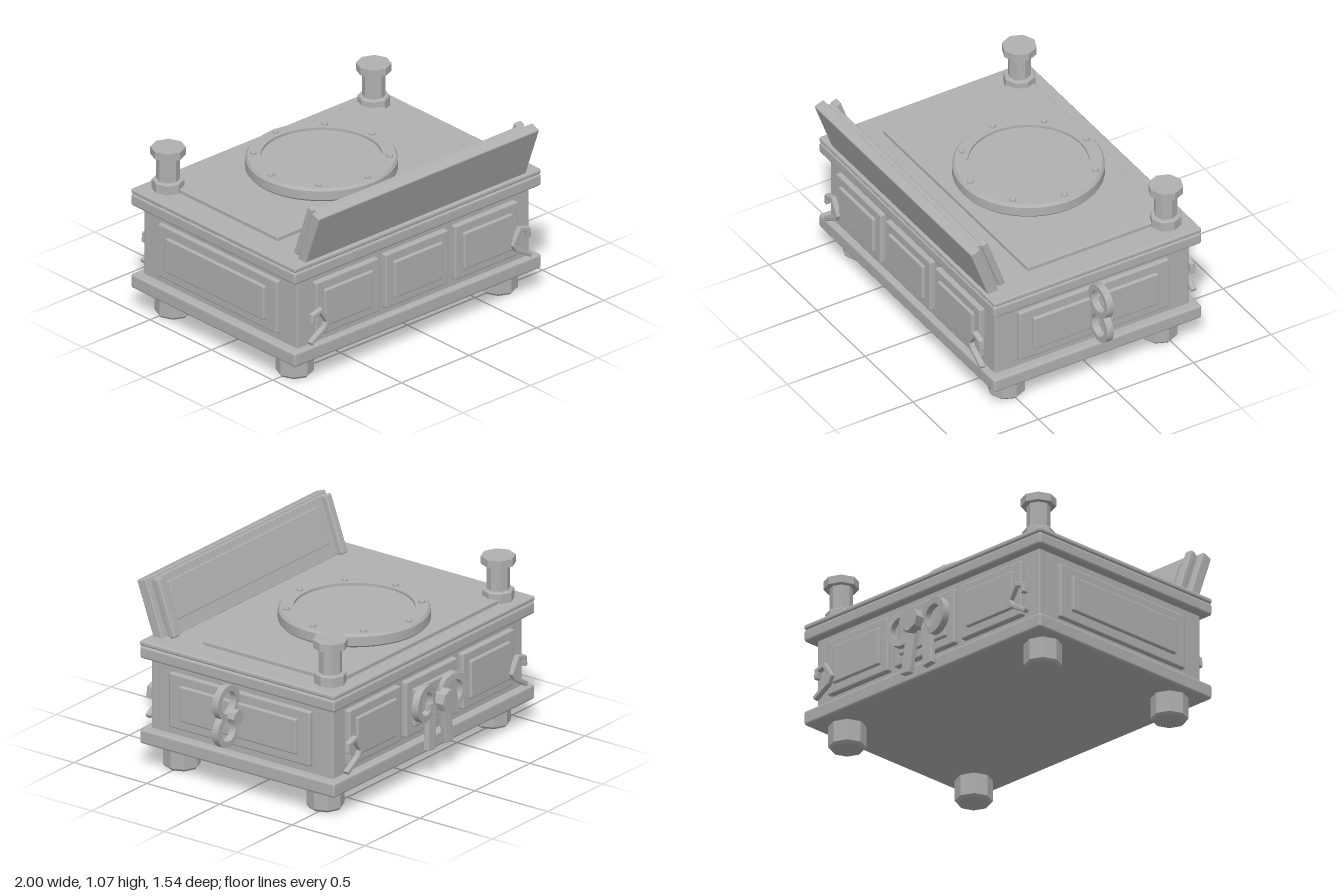
import * as THREE from 'three';
import { RoundedBoxGeometry } from 'three/addons/geometries/RoundedBoxGeometry.js';
import { toCreasedNormals } from 'three/addons/utils/BufferGeometryUtils.js';

const CX = -0.085; // middle of the chest; the side key pushes it off centre
const CZ = 0.01;

export function createModel() {
  const model = new THREE.Group();
  const grey = new THREE.MeshStandardMaterial({ color: 0xb0b0b0 });
  grey.name = 'plain grey';

  const add = (name, geometry, parent = model) => {
    const mesh = new THREE.Mesh(geometry, grey);
    mesh.name = name;
    parent.add(mesh);
    return mesh;
  };
  // Box given by its lower and upper corners
  const box = (name, [x0, y0, z0], [x1, y1, z1], radius = 0.01, parent = model) => {
    const mesh = add(name, new RoundedBoxGeometry(x1 - x0, y1 - y0, z1 - z0, 2, radius), parent);
    mesh.position.set((x0 + x1) / 2, (y0 + y1) / 2, (z0 + z1) / 2);
    return mesh;
  };
  // Turned part; few sides give flat facets
  const turned = (name, profile, sides, x, y, z, parent = model) => {
    const points = profile.map(([r, h]) => new THREE.Vector2(r, h));
    const mesh = add(name, toCreasedNormals(new THREE.LatheGeometry(points, sides), 0.5), parent);
    mesh.position.set(x, y, z);
    return mesh;
  };
  // Flat ring lying in the xy plane
  const ringGeometry = (outer, inner, depth) => {
    const shape = new THREE.Shape().absarc(0, 0, outer, 0, Math.PI * 2);
    shape.holes.push(new THREE.Path().absarc(0, 0, inner, 0, Math.PI * 2, true));
    const geometry = new THREE.ExtrudeGeometry(shape, { depth, bevelEnabled: false, curveSegments: 12 });
    geometry.translate(0, 0, -depth / 2);
    return toCreasedNormals(geometry, 0.6);
  };

  // Chest
  box('baseSlab', [-1, 0.138, -0.66], [0.83, 0.225, 0.68], 0.015);
  box('body', [-0.945, 0.21, -0.61], [0.775, 0.66, 0.64]);
  box('cornice', [-1, 0.643, -0.66], [0.83, 0.716, 0.68], 0.015);
  box('topSlab', [-1, 0.716, -0.66], [0.83, 0.747, 0.68], 0.012);
  box('topPlate', [-0.84, 0.74, -0.57], [0.67, 0.77, 0.363], 0.006);

  // Raised panels, three at the front and back
  for (const side of [1, -1]) {
    const wall = side > 0 ? 0.64 : -0.61;
    for (const i of [-1, 0, 1]) {
      const x = CX + i * 0.516;
      const panel = (name, w, y0, y1, out) => {
        const z = [wall - side * 0.02, wall + side * out].sort((a, b) => a - b);
        box(name, [x - w, y0, z[0]], [x + w, y1, z[1]]);
      };
      panel('panelFrame', 0.233, 0.27, 0.6, 0.033);
      panel('panelCentre', 0.181, 0.322, 0.547, 0.05);
    }
  }
  // One long panel on each end
  for (const side of [1, -1]) {
    const wall = CX + side * 0.86;
    const panel = (name, z0, z1, y0, y1, out) => {
      const x = [wall - side * 0.02, wall + side * out].sort((a, b) => a - b);
      box(name, [x[0], y0, z0], [x[1], y1, z1]);
    };
    panel('endPanelFrame', -0.47, 0.5, 0.27, 0.593, 0.027);
    panel('endPanelCentre', -0.39, 0.415, 0.328, 0.537, 0.046);
  }

  // Feet and rear posts
  for (const side of [1, -1]) {
    for (const z of [0.505, -0.48]) {
      turned('foot', [[0, 0], [0.092, 0], [0.105, 0.014], [0.105, 0.15]], 8, CX + side * 0.757, 0, z);
    }
    turned('post', [[0.09, 0], [0.09, 0.058], [0.083, 0.065], [0.065, 0.065], [0.065, 0.213],
      [0.098, 0.213], [0.098, 0.258], [0, 0.258]], 8, CX + side * 0.763, 0.745, -0.52);
  }

  // Round plate with a sunken middle and a circle of rivets
  turned('roundPlate', [[0.41, 0], [0.42, 0.012], [0.42, 0.065], [0.408, 0.08], [0.335, 0.08],
    [0.335, 0.065], [0, 0.065]], 40, CX, 0.768, -0.107);
  for (let i = 0; i < 8; i++) {
    const a = (i * Math.PI) / 4;
    turned('rivet', [[0.018, 0], [0.018, 0.012], [0.014, 0.018], [0, 0.018]], 10,
      CX + 0.375 * Math.sin(a), 0.846, -0.107 + 0.375 * Math.cos(a));
  }

  // Leaning front lid
  const lid = new THREE.Group();
  lid.name = 'lid';
  lid.position.set(CX, 0.745, 0.66);
  lid.rotation.x = THREE.MathUtils.degToRad(20);
  model.add(lid);
  box('lidPlate', [-0.818, -0.035, -0.064], [0.818, 0.325, 0], 0.008, lid);
  box('lidLining', [-0.775, -0.035, -0.092], [0.775, 0.312, -0.06], 0.008, lid);
  box('lidPanel', [-0.688, 0.045, -0.105], [0.688, 0.268, -0.085], 0.006, lid);
  for (const side of [1, -1]) {
    const strip = box('lidStrip', [-0.026, -0.035, -0.126], [0.026, 0.308, -0.085], 0.01, lid);
    strip.position.x = side * 0.763;
  }

  // Hooked clasps near the corners
  const hook = [[0.8, 0.385], [0.795, 0.425], [0.74, 0.442], [0.69, 0.36], [0.712, 0.325], [0.808, 0.267]];
  for (const z of [0.693, -0.668]) {
    for (const side of [1, -1]) {
      const clasp = new THREE.Group();
      clasp.name = 'clasp';
      clasp.position.set(CX, 0, z);
      model.add(clasp);
      for (let i = 1; i < hook.length; i++) {
        const a = new THREE.Vector2(side * hook[i - 1][0], hook[i - 1][1]);
        const b = new THREE.Vector2(side * hook[i][0], hook[i][1]);
        const d = b.clone().sub(a);
        const bar = add('claspBar', new RoundedBoxGeometry(d.length() + 0.022, 0.026, 0.034, 1, 0.006), clasp);
        bar.position.set((a.x + b.x) / 2, (a.y + b.y) / 2, 0);
        bar.rotation.z = Math.atan2(d.y, d.x);
      }
    }
  }

  // Winding key on the left end
  for (const y of [0.563, 0.4]) {
    add('keyRing', ringGeometry(0.1, 0.066, 0.042)).position.set(0.897, y, 0.033);
  }
  const hub = [[0, 0], [0.045, 0], [0.045, 0.048], [0, 0.048]];
  turned('keyHub', hub, 8, 0.872, 0.479, -0.036).rotation.x = Math.PI / 2;

  // Bow-shaped fitting on the back: two loops, two tails and a knob
  for (const side of [1, -1]) {
    const loop = add('bowLoop', ringGeometry(0.105, 0.066, 0.042));
    loop.position.set(CX + side * 0.127, 0.452, -0.682);
    loop.rotation.y = side * 0.15;
    const tail = add('bowTail', new RoundedBoxGeometry(0.07, 0.27, 0.036, 1, 0.006));
    tail.position.set(CX + side * 0.07, 0.3, -0.682);
    tail.rotation.set(0.06, 0, side * 0.12);
  }
  const stem = [[0.035, 0], [0.035, 0.06], [0.07, 0.06], [0.07, 0.115], [0, 0.115]];
  turned('bowKnob', stem, 8, CX, 0.446, -0.655).rotation.x = -Math.PI / 2;

  return model;
}
